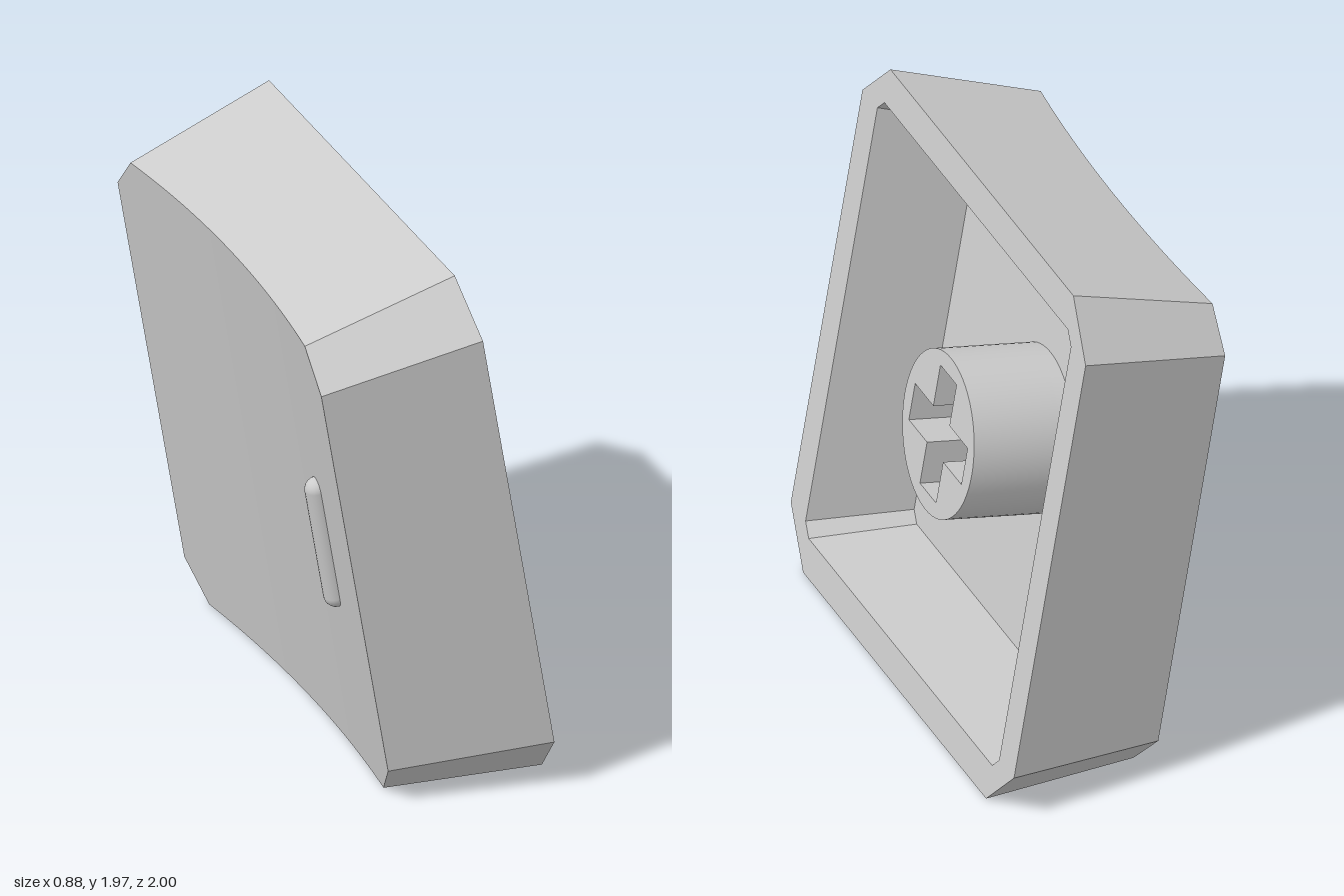
import * as THREE from 'three';
import { mergeGeometries, toCreasedNormals } from 'three/addons/utils/BufferGeometryUtils.js';

// Local frame: +x points out of the open underside, y and z span the square cap.
const CAVITY = 0.38;  // depth of the hollow
const SOCKET = 0.33;  // depth of the cross socket
const TAPER = 0.17;   // wall lean per unit of depth
const dishDepth = (z) => 0.527 + 0.073 * z * z;

// Chamfered square as 2D points, counterclockwise seen from +x
function octagon(h, c) {
  const k = h - c;
  return [[h, -k], [h, k], [k, h], [-k, h], [-h, k], [-h, -k], [-k, -h], [k, -h]]
    .map(([a, b]) => new THREE.Vector2(a, b));
}
const lift = (points, x) => points.map((p) => new THREE.Vector3(x, p.y, -p.x));

// Quads between two point rows
function strip(A, B, closed) {
  const pos = [];
  const n = A.length;
  for (let i = 0; i < (closed ? n : n - 1); i++) {
    const j = (i + 1) % n;
    for (const p of [A[i], B[i], A[j], A[j], B[i], B[j]]) pos.push(p.x, p.y, p.z);
  }
  const g = new THREE.BufferGeometry();
  g.setAttribute('position', new THREE.Float32BufferAttribute(pos, 3));
  return g;
}

// Flat face looking along +x
function plate(outline, x, hole) {
  const shape = new THREE.Shape(outline);
  if (hole) shape.holes.push(new THREE.Path(hole));
  const g = new THREE.ShapeGeometry(shape).toNonIndexed();
  g.deleteAttribute('uv');
  g.deleteAttribute('normal');
  return g.rotateY(Math.PI / 2).translate(x, 0, 0);
}

function shellGeometry() {
  // Upper half of the rim and of the dished face, from -z to +z
  const rim = [], face = [];
  const corner = (s) => {
    rim.push(new THREE.Vector3(0, 0.82, s));
    face.push(new THREE.Vector3(-dishDepth(0.9), 0.766, s * 0.9));
  };
  corner(-1);
  const steps = 28;
  for (let i = 0; i <= steps; i++) {
    const z = 0.77 * (2 * i / steps - 1);
    const d = dishDepth(z);
    rim.push(new THREE.Vector3(0, 1, z * 0.82 / 0.77));
    face.push(new THREE.Vector3(-d, 1 - TAPER * d, z));
  }
  corner(1);
  const mirror = (row) => row.map((p) => new THREE.Vector3(p.x, -p.y, p.z));
  const loop = (row) => [...row, ...mirror(row).reverse()];

  const mouth = octagon(0.867, 0.045), floor = octagon(0.805, 0.038);
  return toCreasedNormals(mergeGeometries([
    strip(loop(rim), loop(face), true),                     // outer walls
    strip(face, mirror(face), false),                       // dished face
    plate(octagon(1, 0.18), 0, mouth),                      // rim
    strip(lift(floor, -CAVITY), lift(mouth, 0), true),      // cavity walls
    plate(floor, -CAVITY),                                  // cavity floor
  ]), 0.35);
}

function stemGeometry() {
  const shape = new THREE.Shape().absarc(0, 0, 0.3, 0, Math.PI * 2);
  const l = 0.235, w = 0.072;
  shape.holes.push(new THREE.Path([
    [w, w], [w, l], [-w, l], [-w, w], [-l, w], [-l, -w],
    [-w, -w], [-w, -l], [w, -l], [w, -w], [l, -w], [l, w],
  ].map(([a, b]) => new THREE.Vector2(a, b))));
  const g = new THREE.ExtrudeGeometry(shape, { depth: SOCKET, bevelEnabled: false, curveSegments: 32 });
  return toCreasedNormals(g.rotateY(Math.PI / 2).translate(-SOCKET, 0, 0), 0.5);
}

export function createModel() {
  const plastic = new THREE.MeshStandardMaterial({ color: 0xcccccc });
  plastic.name = 'light grey plastic';

  const cap = new THREE.Group();
  cap.name = 'keyCap';
  const add = (name, geometry) => {
    const mesh = new THREE.Mesh(geometry, plastic);
    mesh.name = name;
    cap.add(mesh);
    return mesh;
  };

  add('shell', shellGeometry());
  add('stem', stemGeometry());

  // Solid root of the stem, closing the socket
  const root = add('stemRoot', new THREE.CylinderGeometry(0.3, 0.3, CAVITY - SOCKET + 0.01, 64));
  root.rotation.z = Math.PI / 2;
  root.position.x = -(CAVITY + SOCKET + 0.01) / 2;

  // Raised finger bar near one edge of the dished face
  const bar = add('fingerBar', new THREE.CapsuleGeometry(0.045, 0.43, 8, 20));
  bar.position.set(-dishDepth(0.57), 0, 0.57);

  // Lay the cap on its sloping side wall
  cap.rotation.z = Math.asin(0.165);
  cap.position.set(0.27, 0.987, 0);

  const model = new THREE.Group();
  model.name = 'model';
  model.add(cap);
  return model;
}
